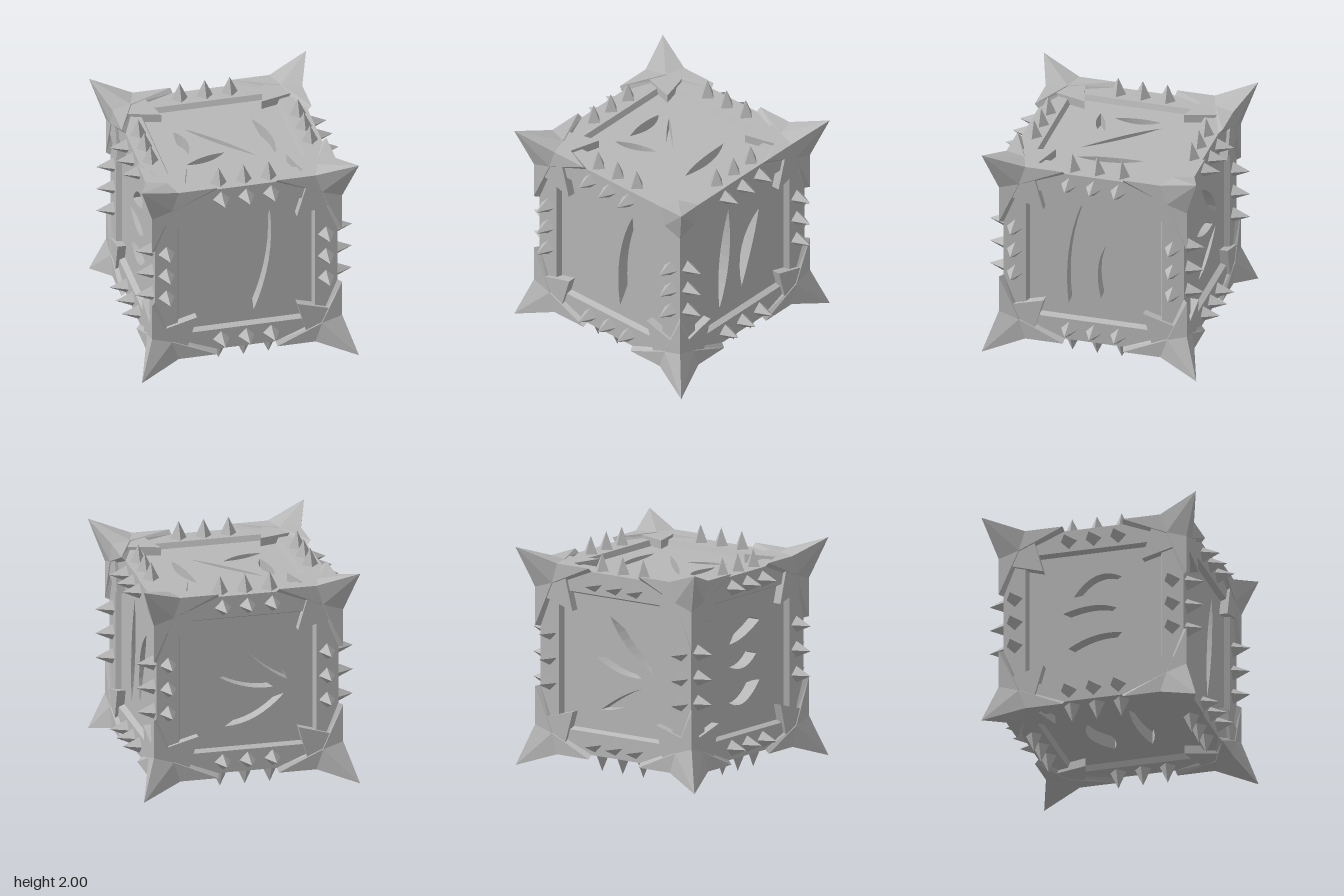
import * as THREE from 'three';

const stone = new THREE.MeshStandardMaterial({ color: 0xb8b8b8, side: THREE.DoubleSide, flatShading: true });
stone.name = 'grey stone';

function mesh(geometry, name, parent) {
  const m = new THREE.Mesh(geometry, stone);
  m.name = name;
  parent.add(m);
  return m;
}

function polygon(points) {
  return new THREE.Shape(points.map(([x, y]) => new THREE.Vector2(x, y)));
}

function square(h) {
  return polygon([[-h, -h], [h, -h], [h, h], [-h, h]]);
}

// Flat plate between two heights along z
function plate(shape, z0, z1) {
  const g = new THREE.ExtrudeGeometry(shape, { depth: z1 - z0, bevelEnabled: false, curveSegments: 8 });
  return g.translate(0, 0, z0);
}

// Curved claw cut: end a, curve control, end b, control of the way back
function claw([ax, ay, cx, cy, bx, by, dx, dy]) {
  const p = new THREE.Path();
  p.moveTo(ax, ay);
  p.quadraticCurveTo(cx, cy, bx, by);
  p.quadraticCurveTo(dx, dy, ax, ay);
  return p;
}

// One face's share of a corner cap: horn tip, two tapering arms and their rim
function capGeometry() {
  const T = [1, 1, 1], C = [0.69, 0.69, 0.875], C0 = [0.675, 0.675, 0.84];
  const A = [0.63, 0.875, 0.875], E = [0.28, 0.875, 0.875], E0 = [0.27, 0.84, 0.84];
  const swap = ([x, y, z]) => [y, x, z];
  const B = swap(A), F = swap(E), F0 = swap(E0);
  const corners = [
    T, A, C, T, C, B, A, E, C, C, F, B,
    E, E0, C0, E, C0, C, C, C0, F0, C, F0, F,
  ];
  const g = new THREE.BufferGeometry();
  g.setAttribute('position', new THREE.Float32BufferAttribute(corners.flat(), 3));
  g.computeVertexNormals();
  return g;
}

// Rotation of each face and the claw cuts carved in its panel
const FACES = [
  { name: 'frontFace', rot: [0, 0], cuts: [[0.23, 0.52, 0.285, 0, 0.08, -0.51, 0, 0.05]] },
  {
    name: 'leftFace', rot: [0, Math.PI / 2], cuts: [
      [-0.13, 0.52, -0.05, -0.05, -0.25, -0.5, -0.31, 0.05],
      [0.28, 0.32, 0.235, 0.05, 0.05, -0.41, -0.065, 0.1],
    ],
  },
  {
    name: 'backFace', rot: [0, Math.PI], cuts: [
      [-0.1, 0.45, 0.3, 0.25, 0.38, -0.02, 0.05, 0.15],
      [-0.25, 0.05, 0, 0.12, 0.25, -0.08, 0, -0.1],
      [-0.2, -0.42, 0.1, -0.2, 0.35, -0.15, 0.1, -0.42],
    ],
  },
  {
    name: 'rightFace', rot: [0, -Math.PI / 2], cuts: [
      [-0.2, 0.2, 0, 0.5, 0.25, 0.35, 0, 0.2],
      [-0.3, 0.05, 0, 0.15, 0.2, 0.05, 0, -0.15],
      [-0.25, -0.3, 0, -0.15, 0.25, -0.2, 0, -0.5],
    ],
  },
  {
    name: 'topFace', rot: [-Math.PI / 2, 0], cuts: [
      [-0.3, 0.3, 0, 0.05, 0.24, -0.3, -0.15, 0.05],
      [0.33, 0.32, 0.5, 0.05, 0.41, -0.28, 0.33, -0.1],
      [-0.42, -0.3, -0.2, -0.34, -0.04, -0.17, -0.25, -0.17],
      [-0.4, 0.27, -0.25, 0.1, -0.37, -0.15, -0.45, 0.05],
    ],
  },
  {
    name: 'bottomFace', rot: [Math.PI / 2, 0], cuts: [
      [-0.4, 0.2, 0, 0.4, 0.35, 0.2, 0, 0.12],
      [-0.2, -0.25, 0.1, 0, 0.35, -0.15, 0.1, -0.4],
    ],
  },
];

export function createModel() {
  const model = new THREE.Group();
  model.name = 'spikedCube';
  const body = new THREE.Group();
  body.position.y = 1;
  model.add(body);

  // Core seen as the floor of the carved cuts
  mesh(new THREE.BoxGeometry(1.34, 1.34, 1.34), 'core', body);

  // Shared parts, all laid out on the +z face
  const frameShape = square(0.84);
  frameShape.holes.push(square(0.635));
  const frame = plate(frameShape, 0.77, 0.84);
  const lip = new THREE.CylinderGeometry(0.635 * Math.SQRT2, 0.612 * Math.SQRT2, 0.05, 4, 1, true)
    .rotateY(Math.PI / 4).rotateX(Math.PI / 2).translate(0, 0, 0.815);
  const spike = new THREE.ConeGeometry(0.075, 0.16, 4).rotateX(Math.PI / 2);
  const arrow = plate(polygon([[0.7, 0.7], [0.545, 0.755], [0.46, 0.465], [0.755, 0.545]]), 0.78, 0.868);
  const cap = capGeometry();

  for (const { name, rot, cuts } of FACES) {
    const face = new THREE.Group();
    face.name = name;
    face.rotation.set(rot[0], rot[1], 0);
    body.add(face);

    const panelShape = square(0.635);
    panelShape.holes.push(...cuts.map(claw));
    mesh(plate(panelShape, 0.66, 0.79), 'carvedPanel', face);
    mesh(frame, 'frame', face);
    mesh(lip, 'frameLip', face);

    // Each quarter turn carries one corner and one row of spikes
    for (let i = 0; i < 4; i++) {
      const quarter = new THREE.Group();
      quarter.name = 'quarter';
      quarter.rotation.z = i * Math.PI / 2;
      face.add(quarter);
      mesh(cap, 'cornerCap', quarter);
      mesh(arrow, 'cornerArrow', quarter);
      for (const t of [-0.23, 0, 0.23]) {
        mesh(spike, 'spike', quarter).position.set(t, 0.735, 0.92);
      }
    }
  }
  return model;
}
